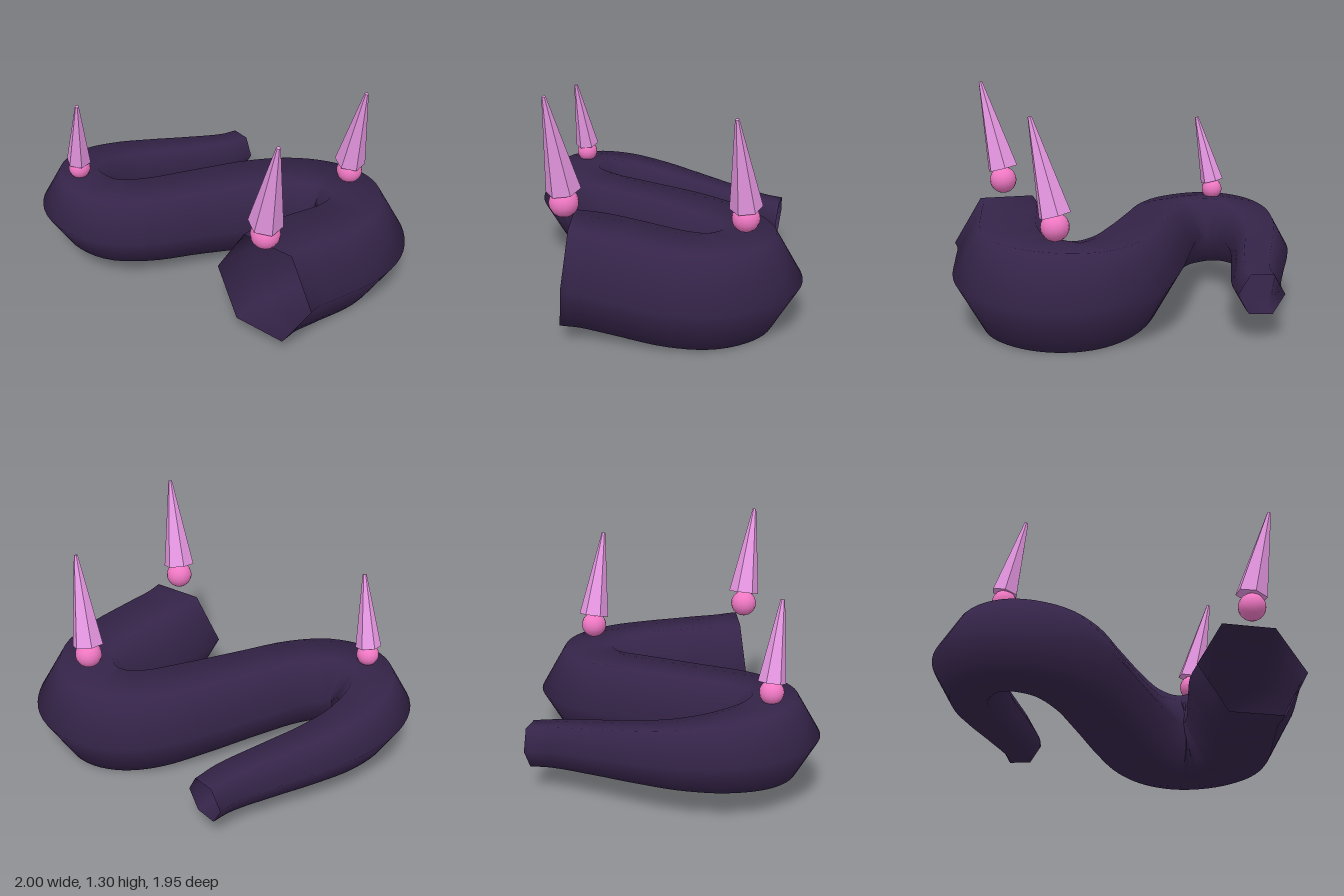
import * as THREE from 'three';

// Spine of the coil from the wide front end to the narrow tail: x, y, z, radius
const SPINE = [
  [-0.055, 0.36, 0.715, 0.307],
  [0.05, 0.347, 0.651, 0.307],
  [0.22, 0.325, 0.59, 0.306],
  [0.48, 0.288, 0.495, 0.303],
  [0.63, 0.271, 0.385, 0.3],
  [0.7, 0.262, 0.22, 0.298],
  [0.68, 0.256, 0.085, 0.293],
  [0.595, 0.258, -0.02, 0.287],
  [0.44, 0.272, -0.098, 0.279],
  [0.2, 0.297, -0.13, 0.268],
  [-0.15, 0.32, -0.133, 0.252],
  [-0.45, 0.334, -0.137, 0.243],
  [-0.65, 0.344, -0.2, 0.237],
  [-0.76, 0.355, -0.35, 0.234],
  [-0.755, 0.355, -0.5, 0.225],
  [-0.645, 0.345, -0.64, 0.207],
  [-0.46, 0.325, -0.732, 0.183],
  [-0.25, 0.305, -0.772, 0.162],
  [0, 0.283, -0.79, 0.145],
  [0.27, 0.26, -0.815, 0.129],
  [0.4, 0.25, -0.857, 0.123],
];

// Tapering six-sided tube, open at both ends, with smooth shading
function coilGeometry(steps = 100, sides = 6) {
  const path = new THREE.CatmullRomCurve3(SPINE.map(([x, y, z]) => new THREE.Vector3(x, y, z)));
  const radii = new THREE.SplineCurve(SPINE.map((p, i) => new THREE.Vector2(i, p[3])));
  const up = new THREE.Vector3(0, 1, 0);
  const positions = [], index = [];
  for (let i = 0; i <= steps; i++) {
    const t = i / steps;
    const centre = path.getPoint(t);
    const tangent = path.getTangent(t);
    const r = radii.getPoint(t).y;
    const side = new THREE.Vector3().crossVectors(tangent, up).normalize();
    const top = new THREE.Vector3().crossVectors(side, tangent);
    for (let j = 0; j < sides; j++) {
      const a = (j / sides) * Math.PI * 2;
      const p = centre.clone().addScaledVector(side, r * Math.cos(a)).addScaledVector(top, r * Math.sin(a));
      positions.push(p.x, p.y, p.z);
      if (i < steps) {
        const k = (j + 1) % sides;
        const a0 = i * sides + j, a1 = i * sides + k;
        index.push(a0, a1, a0 + sides, a1, a1 + sides, a0 + sides);
      }
    }
  }
  const geometry = new THREE.BufferGeometry();
  geometry.setAttribute('position', new THREE.Float32BufferAttribute(positions, 3));
  geometry.setIndex(index);
  geometry.computeVertexNormals();
  return geometry;
}

export function createModel() {
  const model = new THREE.Group();
  model.name = 'spikedCoil';

  const skin = new THREE.MeshStandardMaterial({ color: 0x352449, side: THREE.DoubleSide });
  const horn = new THREE.MeshStandardMaterial({ color: 0xe898e4, flatShading: true });
  const bead = new THREE.MeshStandardMaterial({ color: 0xf078c4 });

  const body = new THREE.Mesh(coilGeometry(), skin);
  body.name = 'coiledBody';
  model.add(body);

  // A round bead with a spike leaning forward out of it
  function addSpike(name, [x, y, z], beadRadius, baseRadius, length, lift) {
    const group = new THREE.Group();
    group.name = name;
    group.position.set(x, y, z);

    const ball = new THREE.Mesh(new THREE.SphereGeometry(beadRadius, 16, 12), bead);
    ball.name = 'bead';

    const cone = new THREE.CylinderGeometry(0.011, baseRadius, length, 6);
    cone.translate(0, length / 2, 0);
    const spike = new THREE.Mesh(cone, horn);
    spike.name = 'spike';
    spike.position.y = lift;
    spike.rotation.x = 0.25;

    group.add(ball, spike);
    model.add(group);
  }
  addSpike('frontSpike', [-0.055, 0.722, 0.728], 0.078, 0.092, 0.525, 0.068);
  addSpike('leftSpike', [0.697, 0.614, 0.162], 0.075, 0.088, 0.512, 0.06);
  addSpike('rightSpike', [-0.768, 0.602, -0.41], 0.063, 0.071, 0.417, 0.05);

  return model;
}
